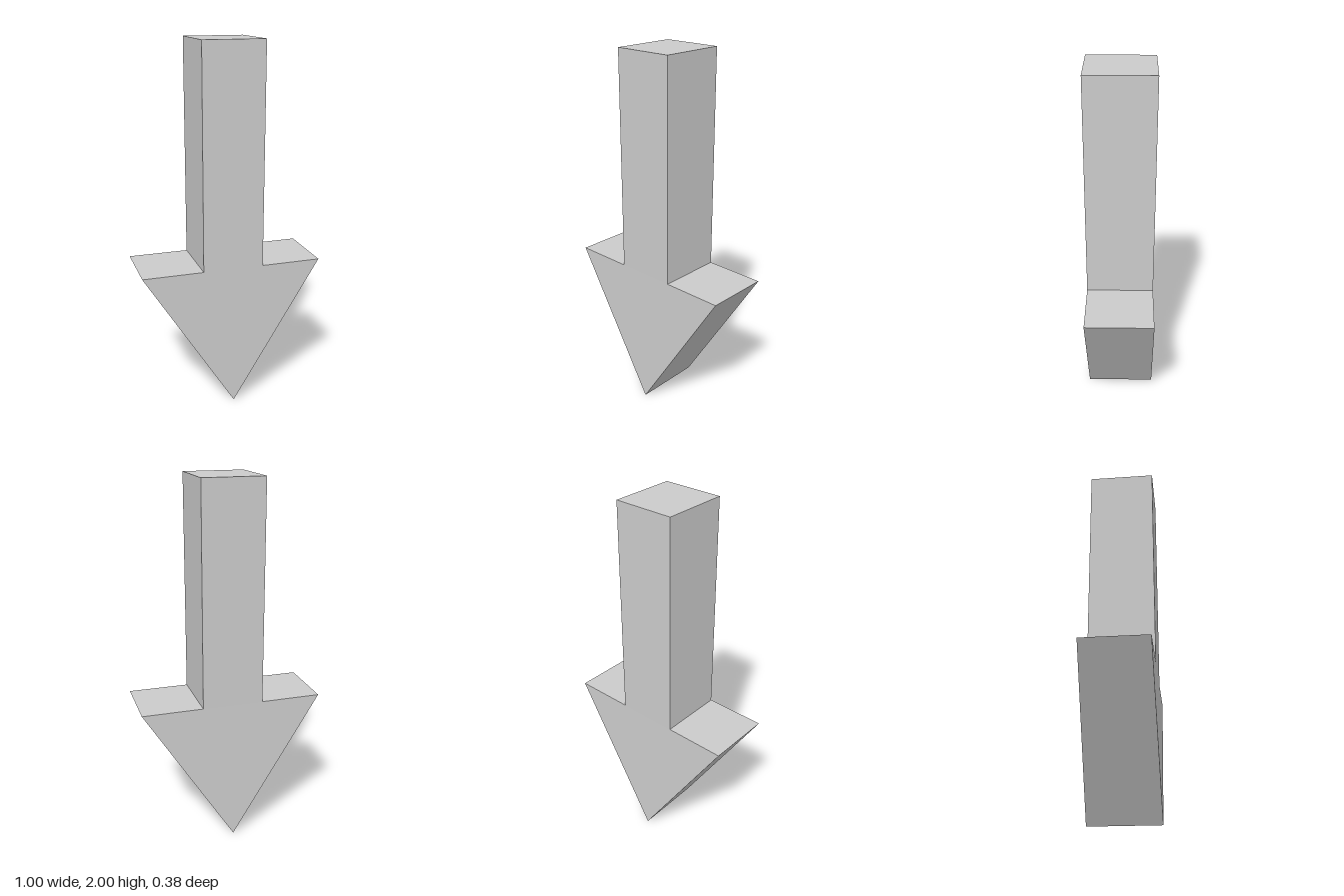
import * as THREE from 'three';

export function createModel() {
  const group = new THREE.Group();
  const material = new THREE.MeshStandardMaterial({ color: 0xcccccc, flatShading: true });
  const headTop = 0.8, height = 2, halfDepth = 0.18, tipHalfDepth = 0.192;

  // Square shaft standing on the head
  const shaft = new THREE.Mesh(
    new THREE.BoxGeometry(0.335, height - headTop, halfDepth * 2), material);
  shaft.name = 'shaft';
  shaft.position.y = (height + headTop) / 2;
  group.add(shaft);

  // Triangular head pointing down
  const outline = new THREE.Shape([
    new THREE.Vector2(0, 0),
    new THREE.Vector2(0.5, headTop),
    new THREE.Vector2(-0.5, headTop),
  ]);
  const geometry = new THREE.ExtrudeGeometry(outline, { depth: 1, bevelEnabled: false });
  geometry.translate(0, 0, -0.5);

  // The head thickens slightly towards its tip
  const p = geometry.attributes.position;
  for (let i = 0; i < p.count; i++) {
    const half = THREE.MathUtils.lerp(tipHalfDepth, halfDepth, p.getY(i) / headTop);
    p.setZ(i, Math.sign(p.getZ(i)) * half);
  }
  geometry.computeVertexNormals();
  const head = new THREE.Mesh(geometry, material);
  head.name = 'arrowHead';
  group.add(head);

  return group;
}
